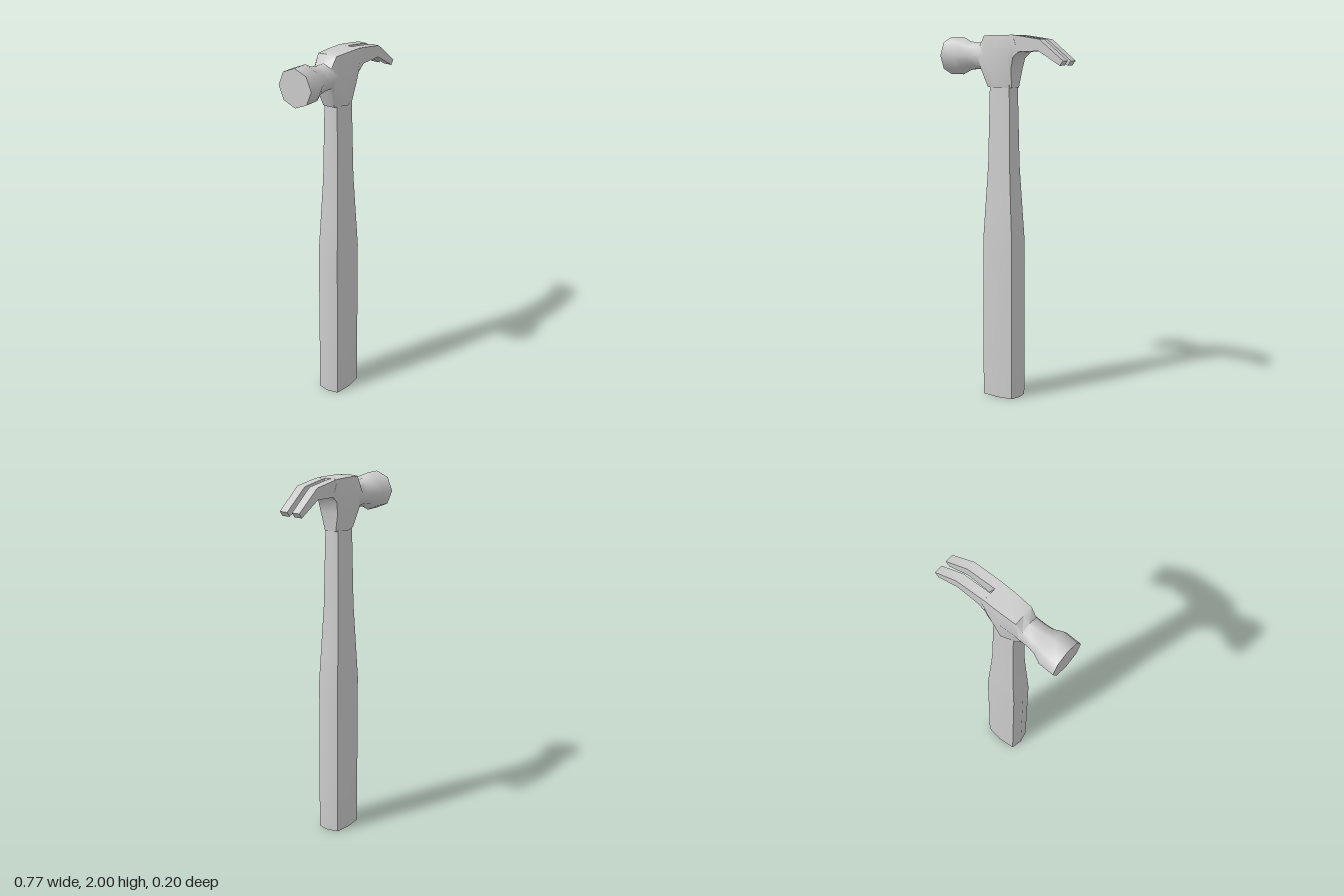
import * as THREE from 'three';
import { toCreasedNormals } from 'three/addons/utils/BufferGeometryUtils.js';

const material = new THREE.MeshStandardMaterial({ color: 0xcccccc });

// Skins a list of equal-length rings (counter-clockwise seen from the far end) and caps both ends.
function loft(name, rings) {
  const n = rings[0].length;
  const index = [];
  for (let r = 0; r < rings.length - 1; r++) {
    for (let i = 0; i < n; i++) {
      const j = (i + 1) % n;
      const a = r * n + i, b = r * n + j;
      index.push(a, b, b + n, a, b + n, a + n);
    }
  }
  const last = (rings.length - 1) * n;
  for (let i = 1; i < n - 1; i++) {
    index.push(0, i + 1, i, last, last + i, last + i + 1);
  }
  const geometry = new THREE.BufferGeometry();
  geometry.setAttribute('position', new THREE.Float32BufferAttribute(rings.flat(2), 3));
  geometry.setIndex(index);
  const mesh = new THREE.Mesh(toCreasedNormals(geometry, 0.9), material);
  mesh.name = name;
  return mesh;
}

// Handle: flattened eight-sided section, thick grip tapering to the neck
function createHandle() {
  const rows = [ // y, half width, half depth
    [0, 0.11, 0.075], [0.88, 0.11, 0.075], [1.08, 0.096, 0.067],
    [1.3, 0.082, 0.057], [1.75, 0.073, 0.048],
  ];
  const section = [[0, 1], [0.87, 0.84], [1, 0], [0.87, -0.84], [0, -1], [-0.87, -0.84], [-1, 0], [-0.87, 0.84]];
  return loft('handle', rows.map(([y, w, d]) => section.map(([x, z]) => [-0.03 + x * w, y, z * d])));
}

// Head: octagonal striking face and neck running into the faceted body
function createHead() {
  const round = (x, r) => [x, x, 1.89 + r, 1.89 - r, 0.707 * r, r, 0.707 * r, 0.293 * r];
  const rows = [ // top x, bottom x, top y, bottom y, top / middle / bottom half depth, corner drop
    round(-0.385, 0.102), round(-0.3, 0.102), round(-0.25, 0.078), round(-0.205, 0.072), round(-0.155, 0.072),
    [-0.12, -0.112, 2, 1.722, 0.057, 0.071, 0.035, 0.002],
    [-0.03, -0.03, 2, 1.72, 0.062, 0.076, 0.062, 0],
    [0.035, 0.045, 2, 1.72, 0.063, 0.072, 0.035, 0],
    [0.05, 0.055, 2, 1.82, 0.063, 0.071, 0.055, 0],
    [0.06, 0.07, 2, 1.88, 0.063, 0.07, 0.06, 0],
    [0.07, 0.105, 2, 1.91, 0.063, 0.065, 0.062, 0],
  ];
  return loft('head', rows.map(([xt, xb, top, bot, wt, wm, wb, c]) => {
    const mid = Math.max(1.89, (top + bot) / 2);
    const xm = (xt + xb) / 2;
    return [
      [xt, top, 0], [xt, top - c, wt], [xm, mid, wm], [xb, bot + c, wb],
      [xb, bot, 0], [xb, bot + c, -wb], [xm, mid, -wm], [xt, top - c, -wt],
    ];
  }));
}

// Claw prong: curved bar tapering to a thin tip, mirrored for the other side
function createProng(side) {
  const rows = [ // top x, top y, bottom x, bottom y, outer z
    [0.065, 2, 0.07, 1.88, 0.063], [0.11, 1.995, 0.105, 1.911, 0.064],
    [0.24, 1.976, 0.235, 1.915, 0.065], [0.385, 1.865, 0.365, 1.84, 0.062],
  ];
  const rings = rows.map(([xt, top, xb, bot, z]) => {
    const ring = [[xt, top, 0.015], [xt, top, z], [xb, bot, z], [xb, bot, 0.015]];
    return side > 0 ? ring : ring.map(([x, y, w]) => [x, y, -w]).reverse();
  });
  return loft(side > 0 ? 'frontClawProng' : 'backClawProng', rings);
}

export function createModel() {
  const model = new THREE.Group();
  model.name = 'clawHammer';
  model.add(createHandle(), createHead(), createProng(1), createProng(-1));
  return model;
}
